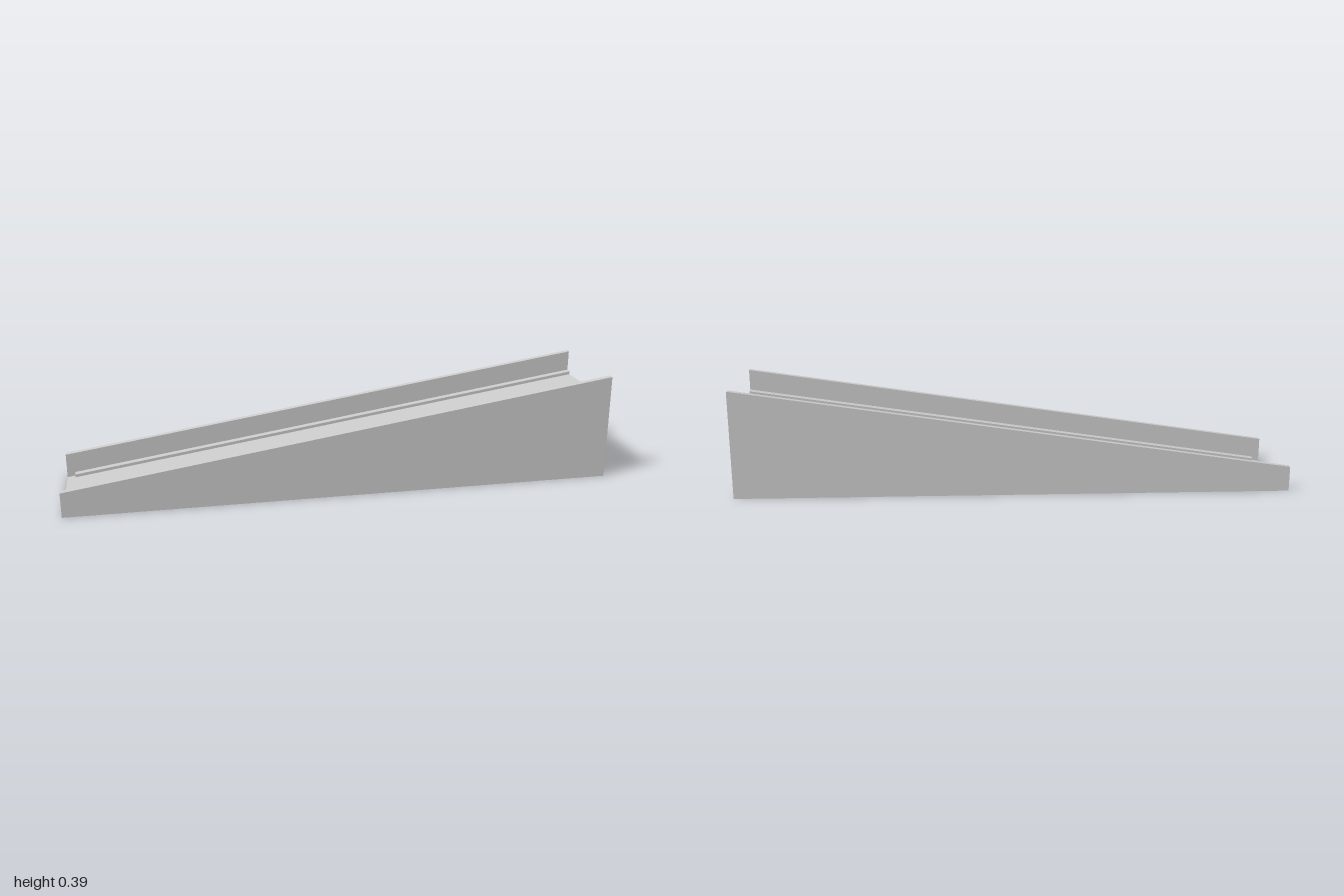
import * as THREE from 'three';

const SLOPE = 0.15; // rise per unit of x
const deckY = (x) => SLOPE * (x + 1);

export function createModel() {
  const group = new THREE.Group();
  const material = new THREE.MeshStandardMaterial({ color: 0xcccccc, flatShading: true });

  const add = (name, geometry) => {
    const mesh = new THREE.Mesh(geometry, material);
    mesh.name = name;
    group.add(mesh);
  };

  // Side outline in x/y, extruded between two z values
  const slab = (points, z0, z1) => {
    const shape = new THREE.Shape(points.map(([x, y]) => new THREE.Vector2(x, y)));
    return new THREE.ExtrudeGeometry(shape, { depth: z1 - z0, bevelEnabled: false }).translate(0, 0, z0);
  };

  // Cross-section in z/y, run along x and sheared to follow the slope
  const slopedRail = (section, x0, x1) => {
    const shape = new THREE.Shape(section.map(([z, y]) => new THREE.Vector2(-z, y)));
    const geometry = new THREE.ExtrudeGeometry(shape, { depth: x1 - x0, bevelEnabled: false });
    geometry.rotateY(Math.PI / 2).translate(x0, 0, 0);
    const p = geometry.attributes.position;
    for (let i = 0; i < p.count; i++) p.setY(i, p.getY(i) + deckY(p.getX(i)));
    geometry.computeVertexNormals();
    return geometry;
  };

  // Wedge carrying the sloping deck
  add('rampWedge', slab([[-1, 0], [1, 0], [1, 0.3]], -0.183, 0.183));

  for (const side of [1, -1]) {
    const label = side > 0 ? 'front' : 'back';

    // Side wall, rising above the deck
    const z = side > 0 ? 0.183 : -0.205;
    add(label + 'SideWall', slab([[-1, 0], [1, 0], [1, 0.39], [-1, 0.09]], z, z + 0.022));

    // Low curb at the foot of the wall, with an eased inner edge
    const section = [[0.183, -0.004], [0.163, -0.004], [0.163, 0.011], [0.166, 0.014], [0.183, 0.014]];
    add(label + 'Curb', slopedRail(section.map(([sz, sy]) => [sz * side, sy]), -0.97, 1));
  }

  return group;
}
